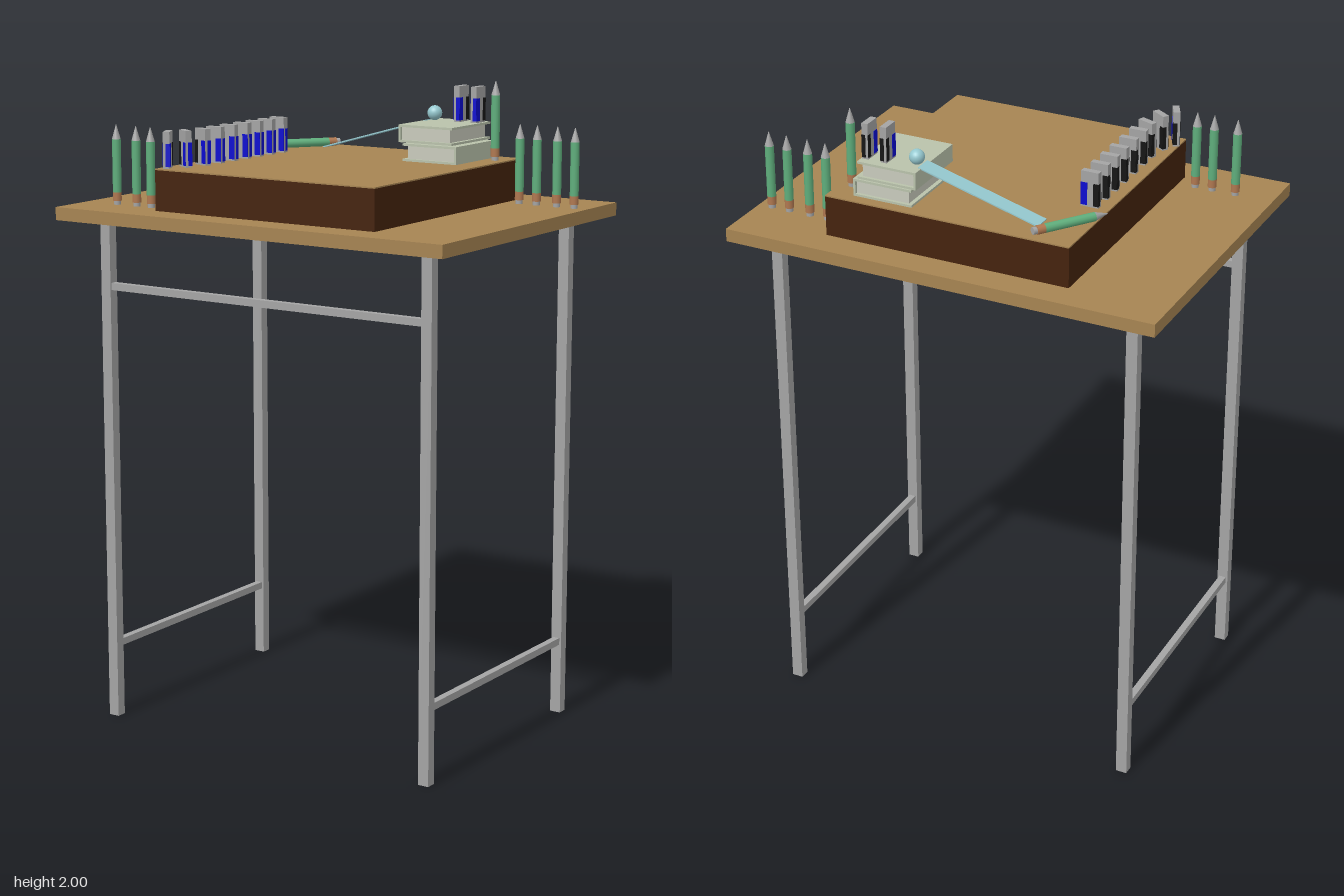
import * as THREE from 'three';

const mat = (name, color) => {
  const m = new THREE.MeshStandardMaterial({ color });
  m.name = name;
  return m;
};

export function createModel() {
  const wood = mat('wood', 0xa68452), darkWood = mat('darkWood', 0x45230d);
  const steel = mat('steel', 0xa4a4a4), green = mat('pencilGreen', 0x5fae7c);
  const copper = mat('copper', 0xb07850), blue = mat('blue', 0x0b0bd0);
  const black = mat('black', 0x151515), cover = mat('bookCover', 0xb9c2ab);
  const pages = mat('pages', 0xc8cabc), aqua = mat('aqua', 0x96c9d0);

  const model = new THREE.Group();
  model.name = 'deskWithChainReaction';

  const add = (parent, name, geo, m, x = 0, y = 0, z = 0) => {
    const mesh = new THREE.Mesh(geo, m);
    mesh.name = name;
    mesh.position.set(x, y, z);
    parent.add(mesh);
    return mesh;
  };
  const box = (parent, name, m, w, h, d, x, y, z) =>
    add(parent, name, new THREE.BoxGeometry(w, h, d), m, x, y, z);

  // Desk
  box(model, 'tableTop', wood, 1.37, 0.04, 1.03, 0, 1.605, 0);
  for (const x of [-0.575, 0.575]) {
    for (const z of [-0.4, 0.4]) box(model, 'leg', steel, 0.035, 1.585, 0.032, x, 0.7925, z);
    box(model, 'sideBar', steel, 0.022, 0.022, 0.77, x, 0.235, 0);
  }
  box(model, 'frontBar', steel, 1.12, 0.022, 0.022, 0, 1.378, 0.4);

  // Raised platform with a lighter top
  box(model, 'platform', darkWood, 0.78, 0.123, 0.835, 0.01, 1.6865, -0.002);
  box(model, 'platformTop', wood, 0.78, 0.004, 0.835, 0.01, 1.75, -0.002);
  const floor = 1.752;

  // Pencil standing on its eraser, tip up
  const pencil = (name, x, y, z) => {
    const g = new THREE.Group();
    g.name = name;
    const tube = (part, m, r0, r1, y0, y1) =>
      add(g, part, new THREE.CylinderGeometry(r1, r0, y1 - y0, 12), m, 0, (y0 + y1) / 2, 0);
    tube('eraserTip', steel, 0.011, 0.011, 0, 0.012);
    tube('ferrule', copper, 0.0135, 0.0135, 0.012, 0.038);
    tube('shaft', green, 0.0135, 0.0135, 0.038, 0.2);
    tube('point', steel, 0.0135, 0.001, 0.2, 0.243);
    g.position.set(x, y, z);
    model.add(g);
    return g;
  };
  for (const x of [-0.565, -0.49, -0.435]) pencil('pencil', x, 1.625, 0.365);
  for (const x of [0.45, 0.51, 0.58, 0.64]) pencil('pencil', x, 1.625, -0.325);
  pencil('platformPencil', 0.363, floor, -0.325);
  const lying = pencil('lyingPencil', -0.255, floor + 0.0135, -0.395);
  lying.quaternion.setFromUnitVectors(
    new THREE.Vector3(0, 1, 0), new THREE.Vector3(-0.14, 0, 0.195).normalize());

  // Upright eraser block with a striped sleeve
  const domino = (x, y, z, turn = 0) => {
    const g = new THREE.Group();
    g.name = 'domino';
    box(g, 'block', steel, 0.055, 0.11, 0.02, 0, 0.055, 0);
    for (const s of [-1, 1]) {
      box(g, 'blueStripe', blue, 0.02, 0.07, 0.001, 0.0175, 0.04, s * 0.0105);
      box(g, 'blackStripe', black, 0.016, 0.07, 0.001, -0.0195, 0.04, s * 0.0105);
    }
    box(g, 'blueEnd', blue, 0.001, 0.07, 0.012, 0.028, 0.04, -0.004);
    box(g, 'blackEnd', black, 0.001, 0.07, 0.012, -0.028, 0.04, -0.004);
    g.position.set(x, y, z);
    g.rotation.y = turn;
    model.add(g);
  };
  for (const z of [-0.145, -0.08, -0.015, 0.05, 0.12, 0.19]) domino(-0.32, floor, z);
  domino(-0.32, floor, 0.255, -0.35);
  domino(-0.333, floor, 0.325, -0.58);
  domino(-0.362, floor, 0.375, -1.1);

  // Two stacked books; side is where the spine sits
  const book = (x, y, side) => {
    const g = new THREE.Group();
    g.name = 'book';
    const w = 0.19, h = 0.054, d = 0.23, t = 0.007;
    for (const cy of [t / 2, h - t / 2]) box(g, 'cover', cover, w, t, d, 0, cy, 0);
    box(g, 'spine', cover, t, h, d, side * (w / 2 - t / 2), h / 2, 0);
    box(g, 'pages', pages, w - 0.02, h - 2 * t, d - 0.02, side * 0.003, h / 2, 0);
    g.position.set(x, y, -0.27);
    model.add(g);
  };
  book(0.23, floor, 1);
  book(0.215, floor + 0.057, -1);
  for (const x of [0.235, 0.295]) domino(x, 1.864, -0.335, -Math.PI / 2);

  // Ramp leaning on the books, with a ball at the top
  const ramp = box(model, 'ramp', aqua, 0.395, 0.004, 0.056, -0.06, 1.811, -0.322);
  ramp.rotation.z = Math.atan2(0.106, 0.38);
  add(model, 'ball', new THREE.SphereGeometry(0.023, 24, 16), aqua, 0.146, 1.886, -0.325);

  return model;
}
